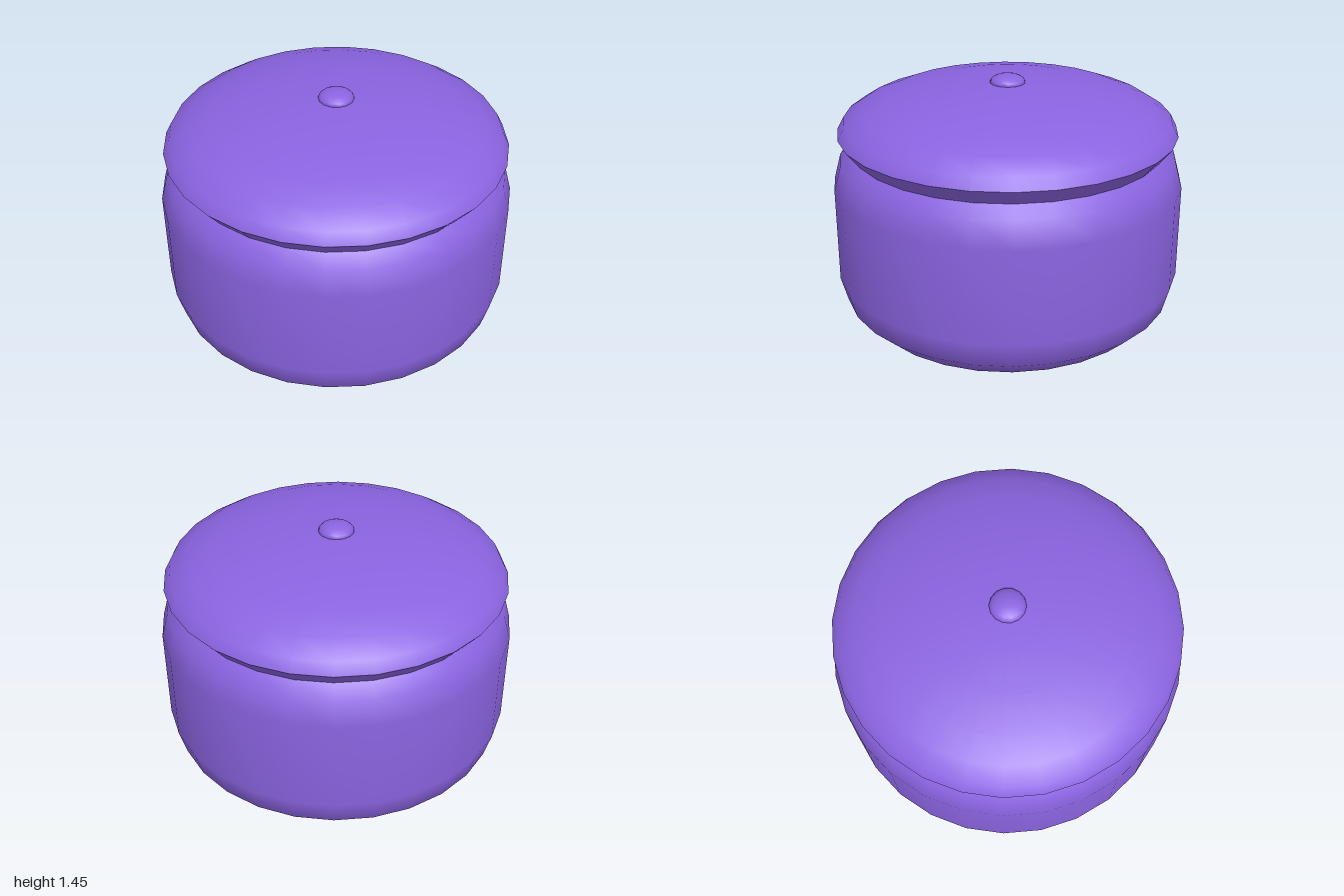
import * as THREE from 'three';

const SIDES = 28;

export function createModel() {
  const group = new THREE.Group();
  const purple = new THREE.MeshStandardMaterial({ color: 0x8a63e0 });
  purple.name = 'purple glaze';

  // Revolve a bottom-to-top profile of [radius, height] pairs
  const turned = (name, profile) => {
    const points = profile.map(([r, y]) => new THREE.Vector2(r, y));
    const mesh = new THREE.Mesh(new THREE.LatheGeometry(points, SIDES), purple);
    mesh.name = name;
    group.add(mesh);
  };

  // Rounded pot, from the base centre up to its neck
  turned('potBody', [
    [0, 0], [0.7, 0.005], [0.85, 0.045], [0.96, 0.15], [1, 0.3],
    [1, 0.84], [0.96, 0.985], [0.89, 1.05],
  ]);

  // Sloping underside of the lid, with a sharp edge at the rim
  turned('lidRim', [[0.89, 1.045], [0.965, 1.14]]);

  // Shallow domed lid
  turned('lidDome', [
    [0.965, 1.14], [0.93, 1.207], [0.83, 1.272], [0.69, 1.327],
    [0.485, 1.37], [0.24, 1.4], [0, 1.405],
  ]);

  // Flattened knob
  const knob = new THREE.Mesh(new THREE.SphereGeometry(0.1, 14, 10), purple);
  knob.name = 'lidKnob';
  knob.scale.y = 0.45;
  knob.position.y = 1.407;
  group.add(knob);

  return group;
}
